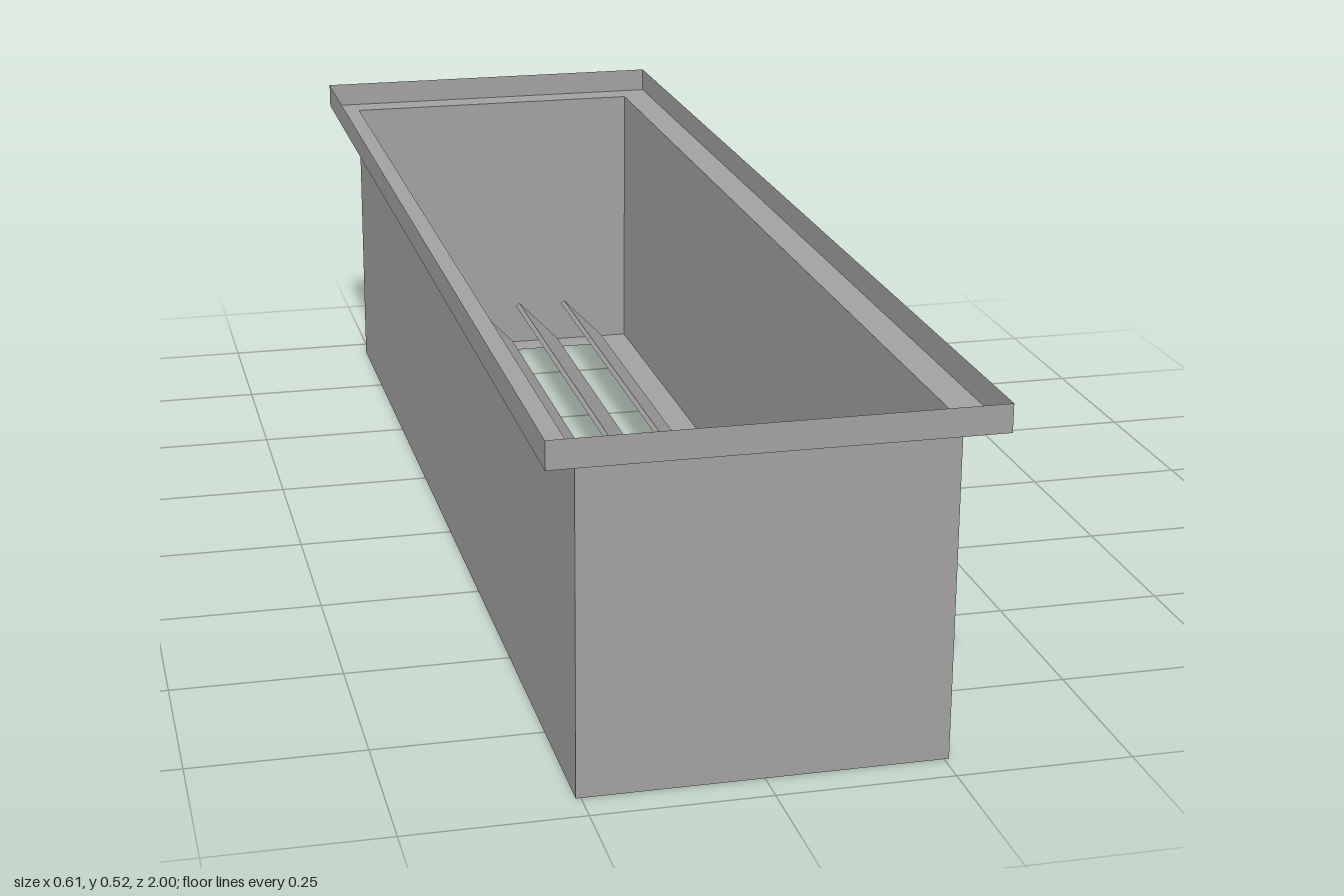
import * as THREE from 'three';

export function createModel() {
  const group = new THREE.Group();
  const sheetGrey = new THREE.MeshStandardMaterial({ color: 0xa2a0a1, side: THREE.DoubleSide });
  sheetGrey.name = 'sheetGrey';

  const add = (name, geometry) => {
    const mesh = new THREE.Mesh(geometry, sheetGrey);
    mesh.name = name;
    group.add(mesh);
    return mesh;
  };

  // Four upright sheets around a rectangle of half sizes hx, hz
  const walls = (name, hx, hz, y0, y1) => {
    for (const s of [1, -1]) {
      const end = add(name + 'End', new THREE.PlaneGeometry(hx * 2, y1 - y0));
      end.position.set(0, (y0 + y1) / 2, s * hz);
      if (s < 0) end.rotation.y = Math.PI;
      const side = add(name + 'Side', new THREE.PlaneGeometry(hz * 2, y1 - y0));
      side.position.set(s * hx, (y0 + y1) / 2, 0);
      side.rotation.y = s * Math.PI / 2;
    }
  };

  // Flat rectangular ring facing up
  const rect = (target, hx, hz) => target
    .moveTo(-hx, -hz).lineTo(hx, -hz).lineTo(hx, hz).lineTo(-hx, hz).closePath();
  const ring = (name, hx, hz, ix, iz, y) => {
    const shape = rect(new THREE.Shape(), hx, hz);
    shape.holes.push(rect(new THREE.Path(), ix, iz));
    const mesh = add(name, new THREE.ShapeGeometry(shape));
    mesh.rotation.x = -Math.PI / 2;
    mesh.position.y = y;
  };

  // Rim tray: upright lip around a flat ledge
  walls('rimLip', 0.305, 1, 0.48, 0.52);
  ring('rimLedge', 0.305, 1, 0.257, 0.95, 0.48);

  // Duct box with an open slot in its floor
  walls('boxWall', 0.257, 0.95, 0, 0.48);
  ring('boxFloor', 0.257, 0.95, 0.2, 0.9, 0);

  // Five slanted louvre blades, dropping towards +x
  const section = new THREE.Shape([
    [-0.04, 0.036], [-0.034, 0.042], [0.04, -0.034], [0.034, -0.04],
  ].map(([x, y]) => new THREE.Vector2(x, y)));
  const blade = new THREE.ExtrudeGeometry(section, { depth: 1.85, bevelEnabled: false });
  blade.translate(0, 0, -0.925);
  for (let i = 0; i < 5; i++) {
    add('louvreBlade', blade).position.set(-0.19 + i * 0.0885, 0.045, 0);
  }
  return group;
}
